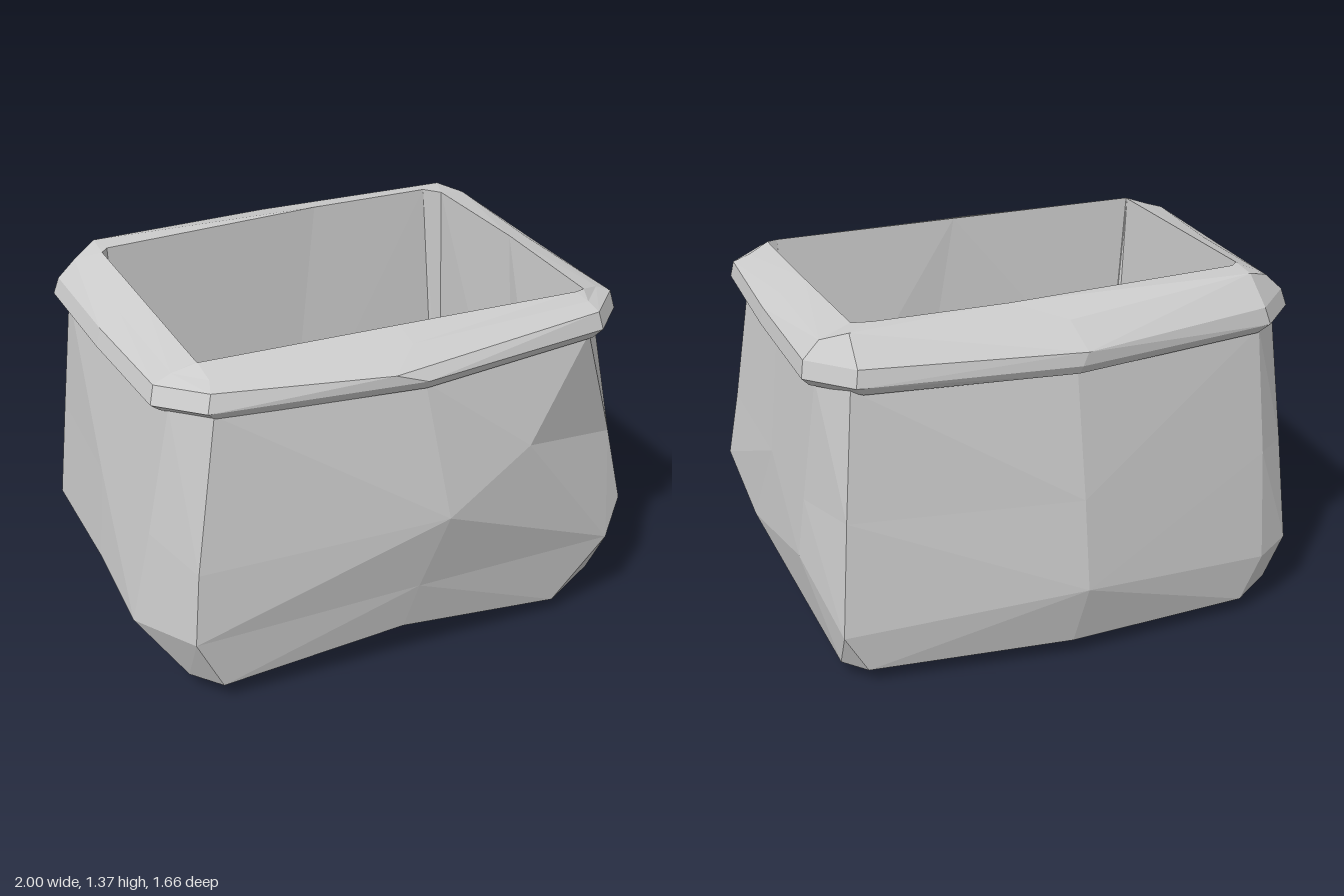
import * as THREE from 'three';

const material = new THREE.MeshStandardMaterial({ color: 0xcccccc, flatShading: true });

// Twelve-point cross-section: four cut corners plus a bowed middle on each side,
// counter-clockwise from above. Order: 0-2 front, 3-5 left (+x), 6-8 back, 9-11 right (-x).
// edits maps a point index to its own [x, y, z].
function ring({ x: [x0, x1], z: [z0, z1], y, cut, front = 0, back = 0, side = 0, tilt = 0, edits = {} }) {
  const xm = (x0 + x1) / 2, zm = (z0 + z1) / 2;
  const outline = [
    [x0 + cut, z1], [xm, z1 + front], [x1 - cut, z1],
    [x1, z1 - cut], [x1 + side, zm], [x1, z0 + cut],
    [x1 - cut, z0], [xm, z0 - back], [x0 + cut, z0],
    [x0, z0 + cut], [x0 - side, zm], [x0, z1 - cut],
  ];
  return outline.map(([x, z], i) => new THREE.Vector3(...(edits[i] ?? [x, y - tilt * z, z])));
}

// Skins a stack of rings; optional centre points close the first or last ring.
// Each quad is folded along the diagonal that makes it bulge outwards.
function skin(name, rings, bottom, top) {
  const points = [];
  const n = rings[0].length;
  for (let j = 0; j < n; j++) {
    const k = (j + 1) % n;
    for (let i = 0; i < rings.length - 1; i++) {
      const a = rings[i][j], b = rings[i][k], c = rings[i + 1][k], d = rings[i + 1][j];
      const plane = new THREE.Plane().setFromCoplanarPoints(a, b, c);
      if (plane.distanceToPoint(d) <= 0) points.push(a, b, c, a, c, d);
      else points.push(a, b, d, b, c, d);
    }
    if (bottom) points.push(rings[0][k], rings[0][j], bottom);
    if (top) points.push(rings.at(-1)[j], rings.at(-1)[k], top);
  }
  const geometry = new THREE.BufferGeometry().setFromPoints(points);
  geometry.computeVertexNormals();
  const mesh = new THREE.Mesh(geometry, material);
  mesh.name = name;
  return mesh;
}

export function createModel() {
  const group = new THREE.Group();
  group.name = 'openSack';

  // Body rings, from the sagging sole up to the neck
  const sole = ring({
    x: [-0.74, 0.74], z: [-0.62, 0.56], y: 0.03, cut: 0.12,
    edits: { 4: [0.74, 0, 0.1], 10: [-0.77, 0, 0.1], 1: [0, 0.06, 0.56] },
  });
  const hem = ring({
    x: [-0.83, 0.89], z: [-0.74, 0.68], y: 0.07, cut: 0.13, back: 0.02,
    edits: {
      0: [-0.74, 0.07, 0.67], 1: [-0.02, 0.145, 0.71], 2: [0.66, 0.055, 0.69], 3: [0.89, 0.085, 0.58],
      5: [0.88, 0.06, -0.57], 6: [0.8, 0.06, -0.66], 8: [-0.7, 0.06, -0.71], 9: [-0.84, 0.1, -0.64],
    },
  });
  const belly = ring({
    x: [-0.97, 0.97], z: [-0.71, 0.72], y: 0.32, cut: 0.14, back: 0.12,
    edits: {
      0: [-0.85, 0.29, 0.69], 1: [0.02, 0.34, 0.755], 2: [0.88, 0.3, 0.71], 3: [1, 0.4, 0.61],
      4: [0.98, 0.27, 0.28], 5: [0.97, 0.43, -0.38], 6: [0.89, 0.22, -0.67],
      8: [-0.78, 0.24, -0.72], 9: [-0.92, 0.26, -0.64], 11: [-1, 0.3, 0.45],
    },
  });
  const waist = ring({
    x: [-0.94, 0.96], z: [-0.69, 0.69], y: 0.68, cut: 0.13, back: 0.11,
    edits: {
      0: [-0.83, 0.58, 0.69], 1: [0.1, 0.65, 0.83], 2: [0.46, 0.84, 0.775],
      3: [0.965, 0.68, 0.55], 5: [0.95, 0.68, -0.42], 6: [0.86, 0.68, -0.66],
      8: [-0.77, 0.68, -0.69], 9: [-0.89, 0.68, -0.6], 11: [-0.94, 0.68, 0.5],
    },
  });
  const neck = ring({
    x: [-0.86, 0.91], z: [-0.65, 0.66], y: 1.18, cut: 0.12, front: 0.09, back: 0.09,
    edits: { 2: [0.77, 1.18, 0.65], 3: [0.91, 1.18, 0.46], 5: [0.91, 1.18, -0.51], 6: [0.82, 1.18, -0.64] },
  });
  group.add(skin('body', [sole, hem, belly, waist, neck], new THREE.Vector3(0, 0.03, 0)));

  // Rolled rim, higher at the back
  const roll = { cut: 0.15, front: 0.1, back: 0.1, side: 0.01 };
  const rimUnder = ring({ x: [-0.88, 0.93], z: [-0.66, 0.66], y: 1.165, ...roll });
  const rimLow = ring({ x: [-0.92, 0.96], z: [-0.68, 0.68], y: 1.2, ...roll });
  const rimHigh = ring({
    x: [-0.9, 0.95], z: [-0.67, 0.66], y: 1.265, ...roll,
    edits: { 1: [-0.1, 1.24, 0.765], 7: [0, 1.25, -0.78] },
  });
  const rimShoulder = ring({
    x: [-0.83, 0.89], z: [-0.62, 0.6], y: 1.31, cut: 0.1, front: 0.04, back: 0.06, tilt: 0.04,
    edits: { 6: [0.8, 1.365, -0.58], 8: [-0.73, 1.37, -0.58] },
  });
  const lip = ring({
    x: [-0.74, 0.79], z: [-0.48, 0.54], y: 1.345, cut: 0.03, tilt: 0.05,
    edits: {
      0: [-0.74, 1.32, 0.52], 2: [0.76, 1.315, 0.56], 3: [0.8, 1.315, 0.55],
      5: [0.765, 1.36, -0.48], 6: [0.7, 1.37, -0.52], 7: [0.2, 1.37, -0.53],
    },
  });
  group.add(skin('rim', [neck, rimUnder, rimLow, rimHigh, rimShoulder, lip]));

  // Inner walls and floor, creased towards the front and rising at one corner
  const floor = ring({
    x: [-0.68, 0.78], z: [-0.47, 0.49], y: 0.22, cut: 0.02,
    edits: {
      0: [-0.66, 0.46, 0.48], 1: [0.2, 0.34, 0.53], 2: [0.72, 0.25, 0.51], 3: [0.74, 0.25, 0.49],
      4: [0.78, 0.22, 0.17], 10: [-0.68, 0.34, 0], 11: [-0.68, 0.46, 0.46],
    },
  });
  group.add(skin('lining', [lip, floor], null, new THREE.Vector3(0.18, 0.22, 0.4)));
  return group;
}
